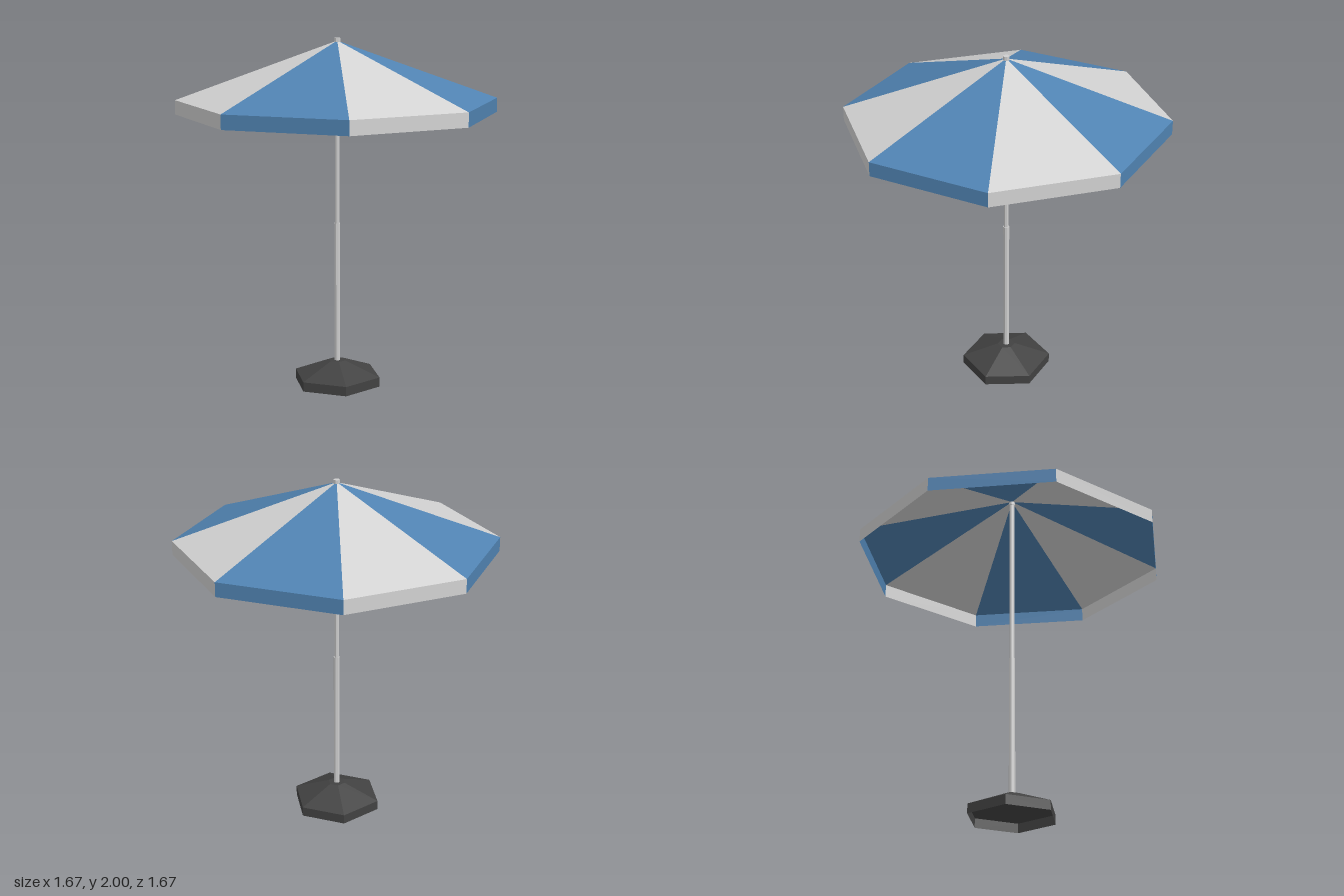
import * as THREE from 'three';

const flat = (name, color) => new THREE.MeshStandardMaterial({
  name, color, flatShading: true, side: THREE.DoubleSide,
});

export function createModel() {
  const blue = flat('blue fabric', 0x5083b2);
  const pale = flat('pale grey fabric', 0xd2d2d2);
  const metal = flat('pole metal', 0xcecece);
  const dark = flat('dark base', 0x424242);

  const model = new THREE.Group();
  model.name = 'parasol';
  const add = (parent, name, geometry, material, y = 0) => {
    const mesh = new THREE.Mesh(geometry, material);
    mesh.name = name;
    mesh.position.y = y;
    parent.add(mesh);
  };
  const profile = (...pairs) => pairs.map(([r, y]) => new THREE.Vector2(r, y));

  // Canopy: eight alternating panels, each a sloped triangle with a hanging valance
  const canopy = new THREE.Group();
  canopy.name = 'canopy';
  model.add(canopy);
  const step = Math.PI / 4;
  const radius = 0.835 / Math.cos(step / 2);
  const panelProfile = profile([radius, 1.58], [radius, 1.66], [0, 1.985]);
  for (let i = 0; i < 8; i++) {
    const panel = new THREE.LatheGeometry(panelProfile, 1, (i - 0.5) * step, step);
    add(canopy, 'canopyPanel', panel, i % 2 ? pale : blue);
  }

  // Two-stage telescopic pole and its top cap
  const tube = (r, bottom, top, name) => add(
    model, name, new THREE.CylinderGeometry(r, r, top - bottom, 8), metal, (bottom + top) / 2);
  tube(0.018, 0.1, 0.95, 'lowerPole');
  tube(0.014, 0.95, 1.97, 'upperPole');
  tube(0.018, 1.96, 2.0, 'topCap');

  // Hollow six-sided base, open underneath, corners on the x axis
  const basePoints = profile([0.258, 0], [0.258, 0.055], [0.05, 0.137], [0, 0.137]);
  add(model, 'base', new THREE.LatheGeometry(basePoints, 6, Math.PI / 2), dark);

  return model;
}
